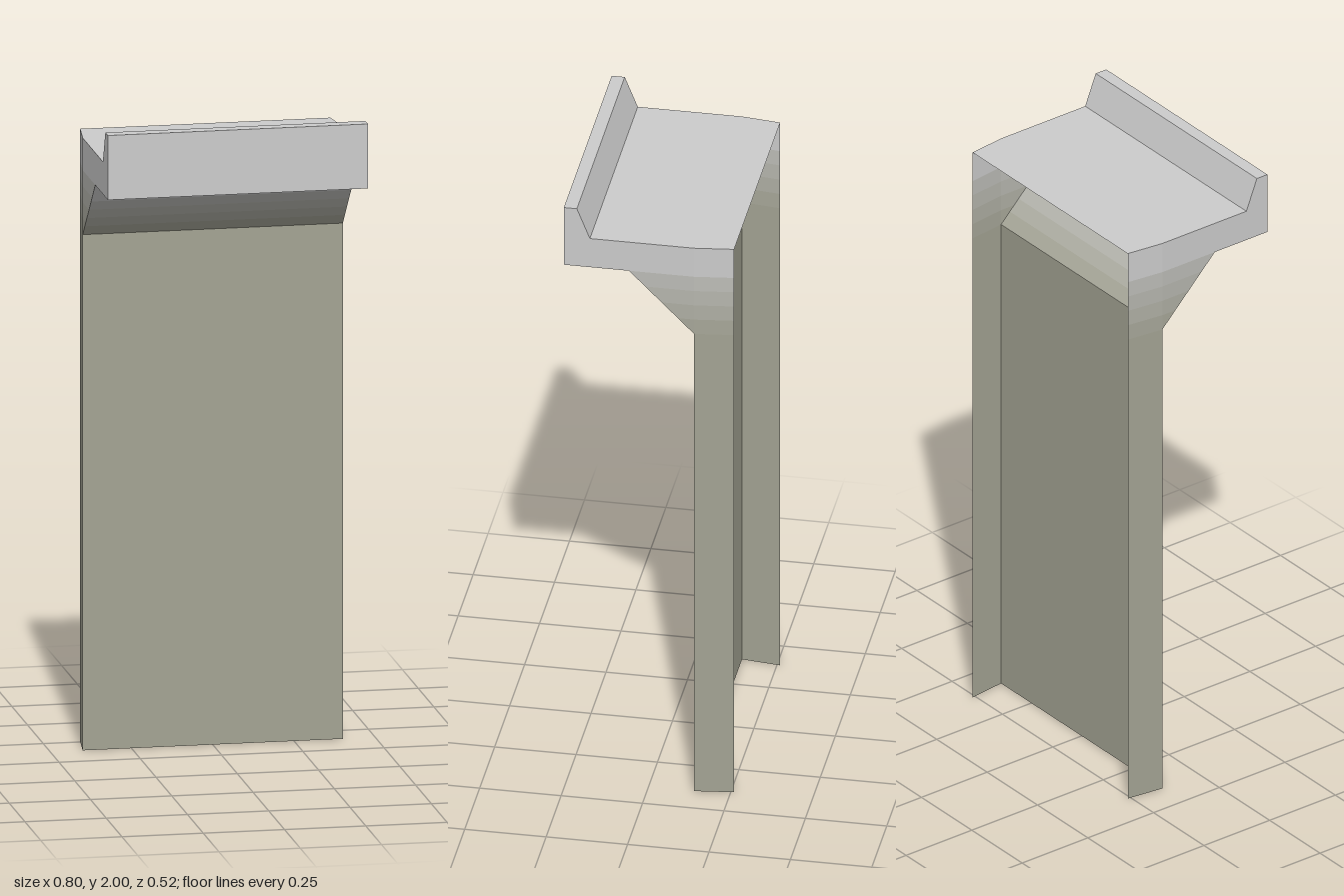
import * as THREE from 'three';

const FOLD = -0.14, BACK = -0.26, FRONT = 0.26;
const grey = new THREE.Color(0xcccccc), olive = new THREE.Color(0xa3a393);

// Half width: constant in front, tapering slightly behind the wall line
const halfWidth = z => z < FOLD ? 0.4 - 0.015 * (FOLD - z) / (FOLD - BACK) : 0.4;

// 0 = olive wall tone, 1 = grey deck tone
const tone = t => new THREE.MeshStandardMaterial({
  color: olive.clone().lerp(grey, t), side: THREE.DoubleSide, flatShading: true,
});

// Sheet spanning the full width along a [z, y] profile
function strip(name, profile, material) {
  const pos = [], index = [];
  profile.forEach(([z, y], i) => {
    const w = halfWidth(z);
    pos.push(-w, y, z, w, y, z);
    const a = 2 * (i - 1);
    if (i) index.push(a, a + 1, a + 3, a, a + 3, a + 2);
  });
  let g = new THREE.BufferGeometry();
  g.setAttribute('position', new THREE.Float32BufferAttribute(pos, 3));
  g.setIndex(index);
  g = g.toNonIndexed();
  g.computeVertexNormals();
  const mesh = new THREE.Mesh(g, material);
  mesh.name = name;
  return mesh;
}

// Side sheet from a [z, y] outline, on the left (s = 1) or right (s = -1)
function side(name, outline, s, material) {
  // Shape x is -z on the left so that the sheet faces outward
  const shape = new THREE.Shape(outline.map(([z, y]) => new THREE.Vector2(-s * z, y)));
  const g = new THREE.ShapeGeometry(shape).toNonIndexed();
  const p = g.attributes.position;
  for (let i = 0; i < p.count; i++) {
    const z = -s * p.getX(i);
    p.setXYZ(i, s * halfWidth(z), p.getY(i), z);
  }
  g.computeVertexNormals();
  const mesh = new THREE.Mesh(g, material);
  mesh.name = name;
  return mesh;
}

export function createModel() {
  const model = new THREE.Group();
  model.name = 'ledgeWall';
  const wallMat = tone(0), deckMat = tone(1);

  // Wall, ledge underside, upright lip and deck
  model.add(strip('frontWall', [[FOLD, 0], [FOLD, 1.6]], wallMat));
  model.add(strip('ledge', [[0.06, 1.8], [FRONT, 1.8], [FRONT, 2], [0.22, 2],
    [0.18, 1.9], [FOLD, 1.9], [BACK, 1.9]], deckMat));

  // Sloped haunch under the ledge, blending from wall to deck tone
  const steps = 6;
  for (let i = 0; i < steps; i++) {
    const a = 0.2 * i / steps, b = 0.2 * (i + 1) / steps;
    model.add(strip('haunchSlope', [[FOLD + a, 1.6 + a], [FOLD + b, 1.6 + b]],
      tone((i + 0.5) / steps)));
  }

  // Sides: lip end, blended haunch cheek, and the flange behind the wall
  for (const s of [1, -1]) {
    const n = s > 0 ? 'left' : 'right';
    model.add(side(n + 'LipEnd', [[0.06, 1.8], [FRONT, 1.8], [FRONT, 2], [0.22, 2],
      [0.18, 1.9], [0.06, 1.9]], s, deckMat));
    model.add(side(n + 'Flange', [[BACK, 0], [FOLD, 0], [FOLD, 1.6], [BACK, 1.6]], s, wallMat));
    for (let i = 0; i < steps; i++) {
      const a = 0.3 * i / steps, b = 0.3 * (i + 1) / steps;
      const za = FOLD + Math.min(a, 0.2), zb = FOLD + Math.min(b, 0.2);
      const mat = tone((i + 0.5) / steps);
      model.add(side(n + 'HaunchCheek', i
        ? [[FOLD, 1.6 + a], [za, 1.6 + a], [zb, 1.6 + b], [FOLD, 1.6 + b]]
        : [[FOLD, 1.6], [zb, 1.6 + b], [FOLD, 1.6 + b]], s, mat));
      model.add(side(n + 'FlangeTop', [[BACK, 1.6 + a], [FOLD, 1.6 + a],
        [FOLD, 1.6 + b], [BACK, 1.6 + b]], s, mat));
    }
  }
  return model;
}
